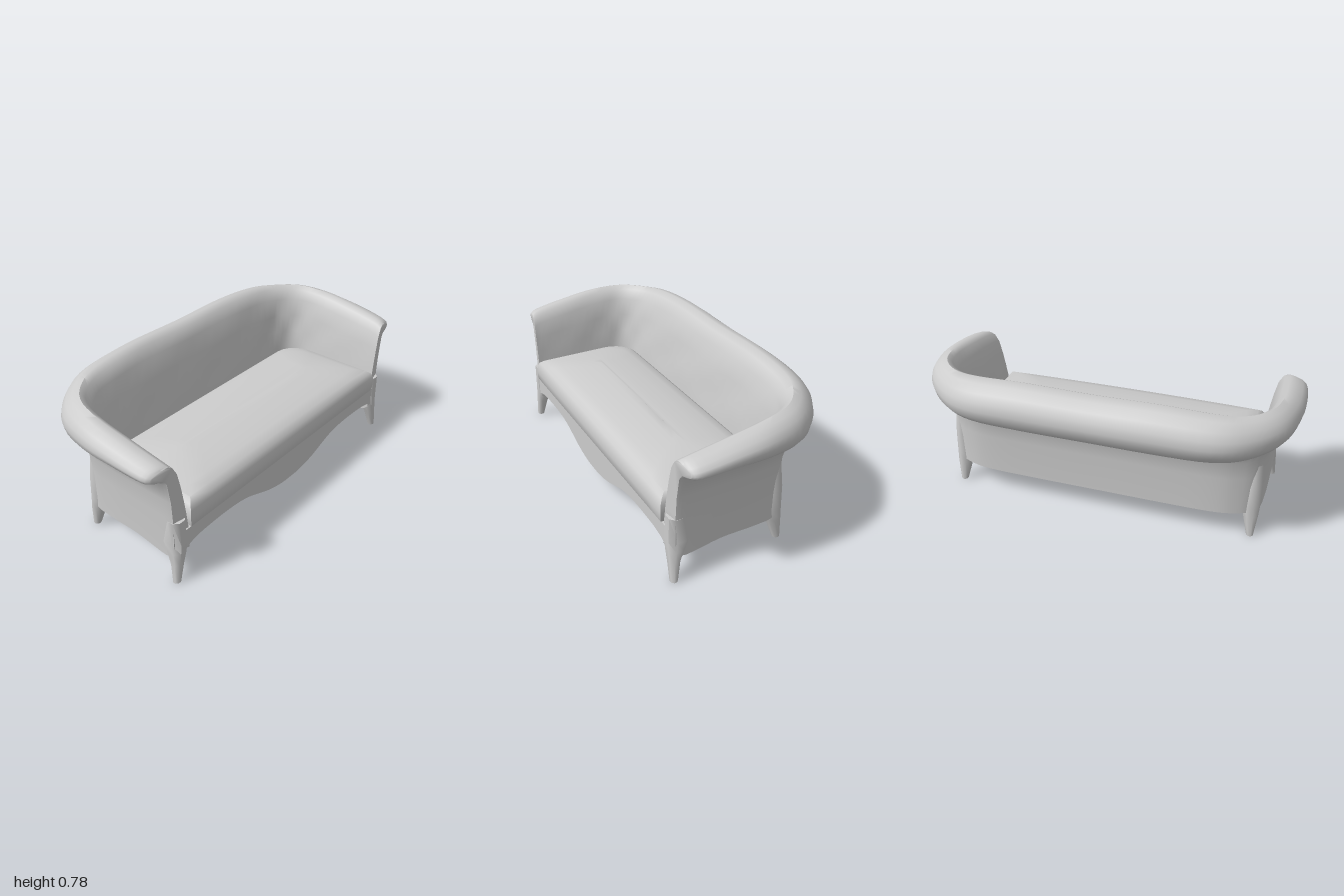
import * as THREE from 'three';
import { mergeVertices, toCreasedNormals } from 'three/addons/utils/BufferGeometryUtils.js';

const upholstery = new THREE.MeshStandardMaterial({ color: 0xcccccc, side: THREE.DoubleSide });
upholstery.name = 'pale grey';

// Skin a list of closed rings of [x, y, z]; each end is filled by triangulating a flat outline
function loft(rings, crease, outline) {
  const n = rings[0].length, index = [];
  for (let i = 0; i < rings.length - 1; i++) {
    for (let k = 0; k < n; k++) {
      const a = i * n + k, c = i * n + (k + 1) % n, b = a + n, d = c + n;
      index.push(a, c, b, c, d, b);
    }
  }
  const last = (rings.length - 1) * n;
  for (const [a, b, c] of THREE.ShapeUtils.triangulateShape(outline, [])) {
    index.push(a, b, c, last + a, last + c, last + b);
  }
  const g = new THREE.BufferGeometry();
  g.setAttribute('position', new THREE.Float32BufferAttribute(rings.flat(2), 3));
  g.setIndex(index);
  return toCreasedNormals(mergeVertices(g), crease);
}

function add(parent, name, geometry) {
  const mesh = new THREE.Mesh(geometry, upholstery);
  mesh.name = name;
  parent.add(mesh);
  return mesh;
}

// Stations from arm front to back centre:
// inner x, inner z, outer x, outer z, top y, underside of roll y, wall bottom y, wall position (0 inner - 1 outer)
const half = [
  [0.78, 0.43, 0.96, 0.4, 0.655, 0.595, 0.16, 0.46],
  [0.78, 0.37, 0.985, 0.36, 0.675, 0.585, 0.13, 0.42],
  [0.78, 0.17, 0.997, 0.19, 0.71, 0.587, 0.155, 0.4],
  [0.78, 0.0, 0.988, 0.0, 0.738, 0.575, 0.15, 0.4],
  [0.765, -0.09, 0.93, -0.2, 0.752, 0.56, 0.145, 0.45],
  [0.71, -0.14, 0.79, -0.35, 0.757, 0.545, 0.145, 0.31],
  [0.6, -0.16, 0.62, -0.43, 0.77, 0.54, 0.145, 0.25],
  [0.35, -0.17, 0.35, -0.45, 0.783, 0.54, 0.145, 0.22],
  [0.0, -0.17, 0.0, -0.45, 0.778, 0.54, 0.145, 0.22],
];

// One closed section of the shell: [position across, height]
function section(top, under, bottom, wall, tuft) {
  const rise = f => 0.27 + (top - 0.27) * f;
  const roll = f => under + (top - under) * f;
  return [
    [0, bottom], [0, 0.27], [0.06, rise(0.25)], [0.12 + tuft, rise(0.45)], [0.19 - tuft, rise(0.65)],
    [0.28 + tuft / 2, rise(0.85)], [0.4, rise(0.96)], [0.53, top], [0.7, roll(0.94)],
    [0.86, roll(0.8)], [0.96, roll(0.63)], [1, roll(0.45)], [0.96, roll(0.24)], [0.84, roll(0.07)],
    [0.68, roll(0)], [wall + 0.12, roll(0) - 0.025], [wall + 0.03, 0.46], [wall, 0.36], [wall, bottom],
  ];
}

function backAndArms() {
  const mirrored = half.slice(0, -1).reverse().map(([a, b, c, ...rest]) => [-a, b, -c, ...rest]);
  const all = [...half, ...mirrored];
  const curves = [0, 2, 4, 6].map(j =>
    new THREE.SplineCurve(all.map(s => new THREE.Vector2(s[j], s[j + 1]))));
  const steps = 64, rings = [];
  let outline;
  for (let i = 0; i <= steps; i++) {
    const [inner, outer, heights, wall] = curves.map(c => c.getPoint(i / steps));
    const middle = Math.min(1, Math.min(i, steps - i) / 16);
    const tuft = 0.025 * middle * Math.cos(i * Math.PI / 3);
    const s = section(heights.x, heights.y, wall.x, wall.y, tuft);
    if (i === 0) outline = s.map(p => new THREE.Vector2(p[0], p[1]));
    rings.push(s.map(([t, y]) => [
      THREE.MathUtils.lerp(inner.x, outer.x, t), y, THREE.MathUtils.lerp(inner.y, outer.y, t),
    ]));
  }
  return loft(rings, 0.9, outline);
}

// Seat cushion: shrinking outlines stacked into a soft crown
function cushion() {
  const plan = (inset, y) => {
    const x = 0.78 - inset, f = 0.447 - inset, b = -0.15 + inset;
    const r = Math.min(0.13, (f - b) * 0.4), ring = [];
    const edge = (px, pz) => ring.push([px, y, pz]);
    for (let i = 0; i <= 12; i++) edge(-x + 2 * x * i / 12, f);
    for (let i = 0; i <= 5; i++) {
      const a = i / 5 * Math.PI / 2;
      edge(x - r + r * Math.cos(a), b + r - r * Math.sin(a));
    }
    for (let i = 5; i >= 0; i--) {
      const a = i / 5 * Math.PI / 2;
      edge(-x + r - r * Math.cos(a), b + r - r * Math.sin(a));
    }
    return ring;
  };
  const layers = [[0.02, 0.265], [0.003, 0.285], [0, 0.33], [0.003, 0.37], [0.015, 0.395],
    [0.04, 0.412], [0.09, 0.426], [0.17, 0.438], [0.25, 0.446], [0.29, 0.448]];
  const rings = layers.map(([inset, y]) => plan(inset, y).map(([x, py, z]) =>
    [x, py + (y > 0.4 ? 0.008 * (1 - (x / 0.78) ** 2) : 0), z]));
  return loft(rings, 0.8, rings[0].map(p => new THREE.Vector2(p[0], p[2])));
}

// Tapered leg from levels of [y, x min, x max, z min, z max], with chamfered corners
function leg(levels) {
  const rings = levels.map(([y, x0, x1, z0, z1]) => Array.from({ length: 8 }, (_, k) => {
    const a = (k + 0.5) * Math.PI / 4;
    const c = v => THREE.MathUtils.clamp(v * 1.083, -1, 1);
    return [(x0 + x1) / 2 + c(Math.cos(a)) * (x1 - x0) / 2, y, (z0 + z1) / 2 - c(Math.sin(a)) * (z1 - z0) / 2];
  }));
  return loft(rings, 0.9, rings[0].map(p => new THREE.Vector2(p[0], p[2])));
}

// Front rail with a dipped apron
function apron() {
  const shape = new THREE.Shape();
  shape.moveTo(-0.82, 0.275);
  shape.lineTo(-0.82, 0.16);
  shape.lineTo(-0.77, 0.185);
  shape.splineThru([[-0.68, 0.2], [-0.5, 0.203], [-0.36, 0.185], [-0.2, 0.13], [-0.09, 0.106], [0, 0.102],
    [0.09, 0.106], [0.2, 0.13], [0.36, 0.185], [0.5, 0.203], [0.68, 0.2], [0.77, 0.185]]
    .map(p => new THREE.Vector2(...p)));
  shape.lineTo(0.82, 0.16);
  shape.lineTo(0.82, 0.275);
  const g = new THREE.ExtrudeGeometry(shape, { depth: 0.035, bevelEnabled: false, curveSegments: 36 });
  return g.translate(0, 0, 0.4);
}

export function createModel() {
  const sofa = new THREE.Group();
  sofa.name = 'sofa';
  add(sofa, 'backAndArms', backAndArms());
  add(sofa, 'seatCushion', cushion());
  add(sofa, 'frontApron', apron());
  add(sofa, 'seatBase', new THREE.BoxGeometry(1.56, 0.13, 0.53).translate(0, 0.212, 0.125));

  const frontLevels = [[0, 0.842, 0.88, 0.405, 0.44], [0.1, 0.81, 0.874, 0.385, 0.44],
    [0.16, 0.785, 0.87, 0.35, 0.44], [0.21, 0.775, 0.868, 0.32, 0.44], [0.34, 0.785, 0.866, 0.36, 0.437]];
  const backLevels = [[0, 0.805, 0.84, -0.187, -0.15], [0.12, 0.775, 0.852, -0.183, -0.11],
    [0.18, 0.76, 0.855, -0.182, -0.08], [0.3, 0.77, 0.852, -0.178, -0.08], [0.46, 0.78, 0.84, -0.16, -0.09]];
  for (const side of [1, -1]) {
    const place = levels => leg(levels.map(([y, a, b, ...z]) => side > 0 ? [y, a, b, ...z] : [y, -b, -a, ...z]));
    const name = side > 0 ? 'left' : 'right';
    add(sofa, name + 'FrontLeg', place(frontLevels));
    add(sofa, name + 'BackLeg', place(backLevels));
  }
  return sofa;
}
